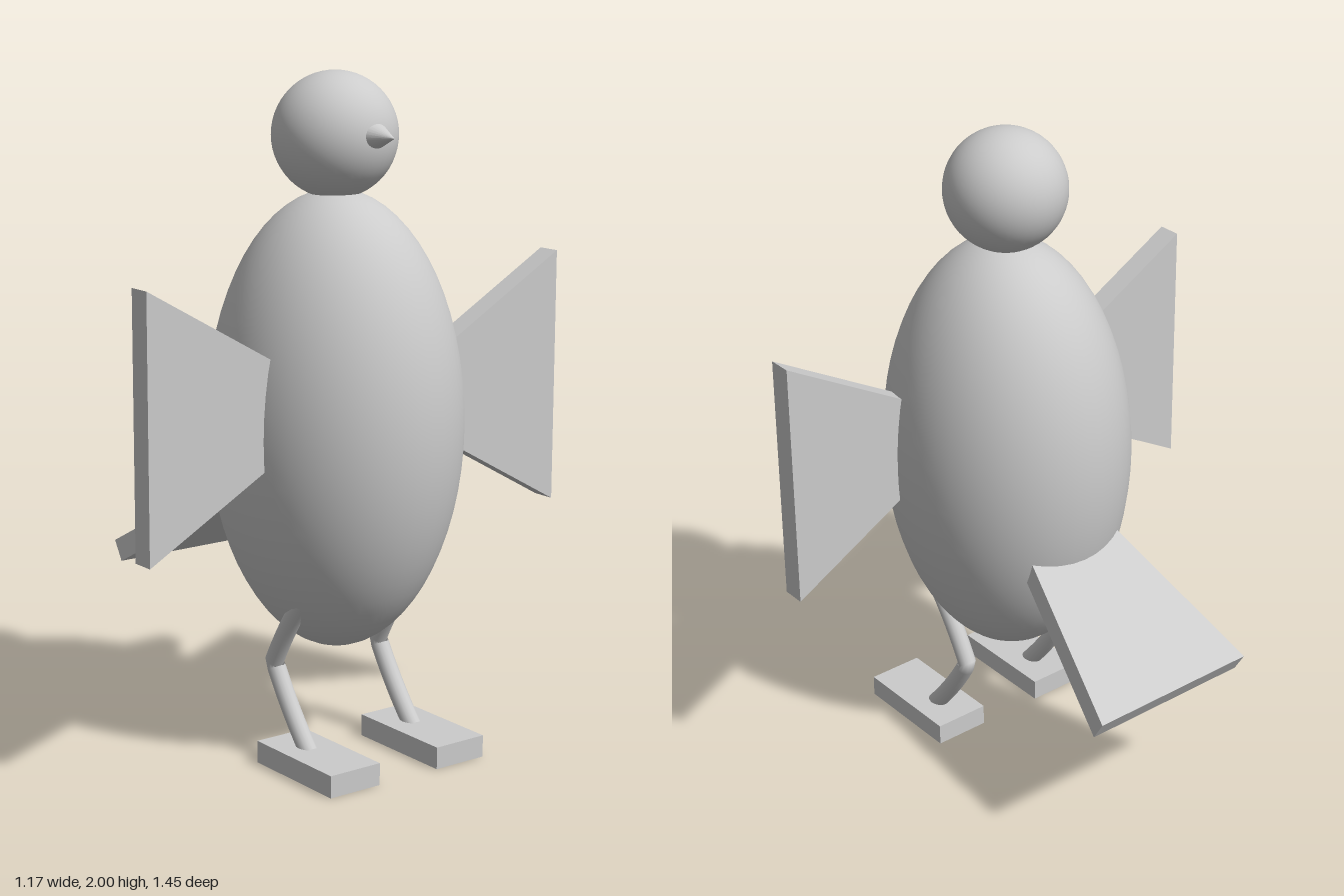
import * as THREE from 'three';

const material = new THREE.MeshStandardMaterial({ color: 0xcccccc });

function part(name, geometry, x = 0, y = 0, z = 0) {
  const mesh = new THREE.Mesh(geometry, material);
  mesh.name = name;
  mesh.position.set(x, y, z);
  return mesh;
}

// Flat panel: a trapezoid that widens from its root (u = 0) to its tip (u = length)
function panel(length, rootLow, rootHigh, tipLow, tipHigh, thickness) {
  const shape = new THREE.Shape([
    new THREE.Vector2(0, rootLow),
    new THREE.Vector2(length, tipLow),
    new THREE.Vector2(length, tipHigh),
    new THREE.Vector2(0, rootHigh),
  ]);
  const geometry = new THREE.ExtrudeGeometry(shape, { depth: thickness, bevelEnabled: false });
  return geometry.translate(0, 0, -thickness / 2);
}

// Bent leg in the x-y plane with a sharp knee
function legGeometry() {
  const v = (x, y) => new THREE.Vector3(x, y, 0);
  const path = new THREE.CurvePath();
  path.add(new THREE.QuadraticBezierCurve3(v(0.32, 0.53), v(0.23, 0.43), v(0.155, 0.287)));
  path.add(new THREE.QuadraticBezierCurve3(v(0.155, 0.287), v(0.22, 0.17), v(0.325, 0.05)));
  return new THREE.TubeGeometry(path, 24, 0.028, 16);
}

export function createModel() {
  const bird = new THREE.Group();
  bird.name = 'bird';

  // Egg-shaped body and round head
  const body = new THREE.SphereGeometry(1, 48, 32).scale(0.395, 0.675, 0.362);
  bird.add(part('body', body, 0.19, 0.99, 0));
  bird.add(part('head', new THREE.SphereGeometry(0.182, 40, 28), 0.185, 1.818, 0));

  // Beak pointing along +x
  const beak = new THREE.ConeGeometry(0.056, 0.105, 24).rotateZ(-Math.PI / 2).scale(1, 0.82, 1);
  bird.add(part('beak', beak, 0.388, 1.825, -0.012));

  // Wings reach out sideways, a little staggered
  const wing = panel(0.5, 0.97, 1.17, 0.69, 1.455, 0.072);
  const wingRight = part('rightWing', wing.clone().rotateY(-Math.PI / 2), 0.277, 0, 0.224);
  const wingLeft = part('leftWing', wing.clone().rotateY(Math.PI / 2), 0.3, -0.014, -0.222);
  bird.add(wingRight, wingLeft);

  // Fan tail sloping down behind the body
  const tail = panel(0.66, -0.135, 0.135, -0.277, 0.277, 0.07)
    .rotateX(Math.PI / 2)
    .rotateY(Math.PI)
    .rotateZ(0.545);
  bird.add(part('tail', tail, -0.006, 0.812, -0.004));

  // Legs and slab feet
  for (const side of [-1, 1]) {
    const leg = new THREE.Group();
    leg.name = side < 0 ? 'leftLeg' : 'rightLeg';
    leg.position.z = side * 0.193;
    leg.add(part('shank', legGeometry()));
    leg.add(part('foot', new THREE.BoxGeometry(0.355, 0.066, 0.175), 0.367, 0.033, 0));
    bird.add(leg);
  }
  return bird;
}
